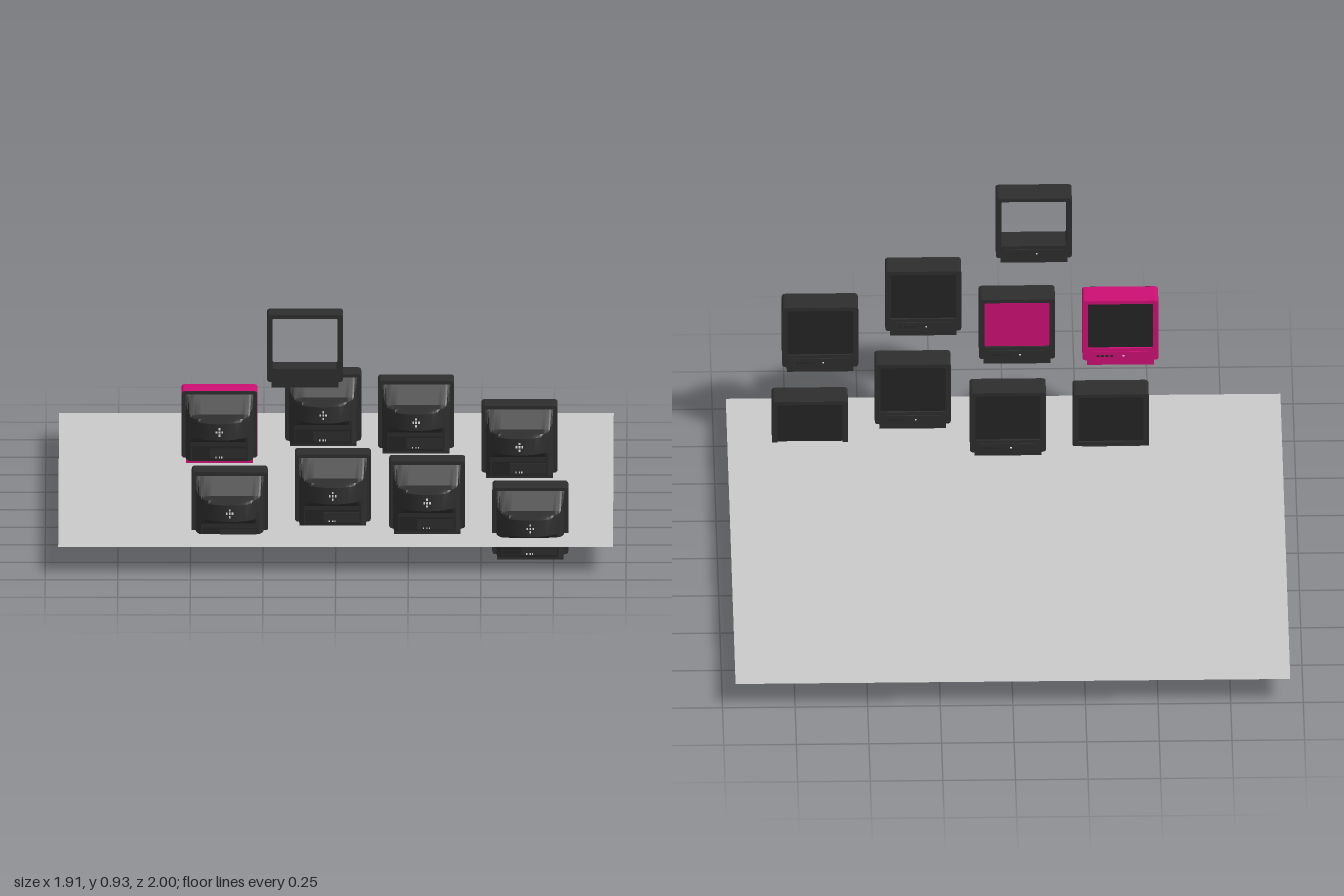
import * as THREE from 'three';
import { toCreasedNormals } from 'three/addons/utils/BufferGeometryUtils.js';

const mat = (name, color, side = THREE.FrontSide) => {
  const m = new THREE.MeshStandardMaterial({ color, side });
  m.name = name;
  return m;
};

const W = 0.262, H = 0.257, D = 0.097; // television width, height, cabinet depth

function roundedRect(Kind, x0, y0, x1, y1, r) {
  const s = new Kind();
  s.moveTo(x0 + r, y0);
  s.lineTo(x1 - r, y0);
  s.quadraticCurveTo(x1, y0, x1, y0 + r);
  s.lineTo(x1, y1 - r);
  s.quadraticCurveTo(x1, y1, x1 - r, y1);
  s.lineTo(x0 + r, y1);
  s.quadraticCurveTo(x0, y1, x0, y1 - r);
  s.lineTo(x0, y0 + r);
  s.quadraticCurveTo(x0, y0, x0 + r, y0);
  return s;
}

// Open cabinet ring around the picture tube
function frameGeometry() {
  const s = roundedRect(THREE.Shape, -W / 2, 0.02, W / 2, H, 0.012);
  s.holes.push(roundedRect(THREE.Path, -0.112, 0.067, 0.112, 0.244, 0.006));
  return new THREE.ExtrudeGeometry(s, { depth: D, bevelEnabled: false, curveSegments: 4 });
}

// Flat rear wall closing the cabinet
function rearWallGeometry() {
  const s = roundedRect(THREE.Shape, -W / 2 + 0.001, 0.021, W / 2 - 0.001, H - 0.001, 0.012);
  const g = new THREE.ExtrudeGeometry(s, { depth: 0.008, bevelEnabled: false, curveSegments: 4 });
  return g.translate(0, 0, D - 0.006);
}

// Rear housing: half-round plan, cut flat at a depth that varies with height
function housingGeometry() {
  const rows = [[0.022, 0], [0.022, 0.055], [0.09, 0.057], [0.11, 0.117],
    [0.168, 0.117], [0.178, 0.085], [0.187, 0.055], [0.245, 0]];
  const n = 28, r = 0.117, pos = [], index = [];
  rows.forEach(([y, limit], i) => {
    for (let j = 0; j <= n; j++) {
      const t = Math.PI * j / n;
      pos.push(r * Math.cos(t), y, D + 0.002 + Math.min(r * Math.sin(t), limit));
      if (i && j) {
        const c = i * (n + 1) + j - 1, a = c - n - 1;
        index.push(a, c, a + 1, a + 1, c, c + 1);
      }
    }
  });
  const g = new THREE.BufferGeometry();
  g.setAttribute('position', new THREE.Float32BufferAttribute(pos, 3));
  g.setIndex(index);
  return toCreasedNormals(g, 0.5);
}

export function createModel() {
  const model = new THREE.Group();
  model.name = 'floatingTelevisions';

  const dark = mat('charcoal', 0x2d2d2d);
  const panel = mat('darkPanel', 0x242424);
  const pink = mat('magenta', 0xcc0f74);
  const light = mat('offWhite', 0xf0f0f0);
  const ground = mat('lightGrey', 0xc9c9c9, THREE.DoubleSide);

  const frameGeo = frameGeometry(), wallGeo = rearWallGeometry(), housingGeo = housingGeometry();

  const add = (parent, name, geo, material, x = 0, y = 0, z = 0) => {
    const m = new THREE.Mesh(geo, material);
    m.name = name;
    m.position.set(x, y, z);
    parent.add(m);
    return m;
  };
  const box = (parent, name, w, h, d, material, x, y, z) =>
    add(parent, name, new THREE.BoxGeometry(w, h, d), material, x, y, z);

  // Cabinet with foot, lower lip and buttons; the screen side faces -z
  function cabinet(name, x, y, z, material) {
    const g = new THREE.Group();
    g.name = name;
    g.position.set(x, y, z);
    model.add(g);
    add(g, 'frame', frameGeo, material);
    box(g, 'foot', 0.23, 0.022, D - 0.006, material, 0, 0.011, D / 2);
    box(g, 'lowerLip', 0.2, 0.03, 0.008, material, 0, 0.04, 0);
    for (let i = 0; i < 4; i++)
      box(g, 'button', 0.01, 0.005, 0.004, panel, 0.03 + i * 0.016, 0.04, -0.005);
    box(g, 'powerLight', 0.006, 0.005, 0.003, light, -0.01, 0.04, -0.005);
    return g;
  }

  function television(x, y, z, frameMat, screenMat) {
    const g = cabinet('television', x, y, z, frameMat);
    box(g, 'screen', 0.226, 0.18, 0.008, screenMat, 0, 0.1555, 0.012);
    add(g, 'rearWall', wallGeo, dark);
    add(g, 'rearHousing', housingGeo, dark);
    // Socket panel on the lower rear
    box(g, 'socketPanel', 0.19, 0.05, 0.004, panel, 0, 0.05, D + 0.058);
    box(g, 'socketInset', 0.125, 0.036, 0.004, dark, 0.03, 0.05, D + 0.06);
    for (const sx of [-0.012, 0, 0.008])
      box(g, 'socket', 0.004, 0.006, 0.003, light, sx, 0.036, D + 0.0615);
    // Cross of small vents at the rear tip
    for (const [vx, vy] of [[0, 0], [-0.01, 0], [0.01, 0], [0, 0.012], [0, -0.012]])
      box(g, 'vent', 0.006, 0.008, 0.008, light, vx, 0.139 + vy, D + 0.1155);
  }

  const sets = [
    [-0.40, 0.357, 0.675, pink, panel],
    [-0.043, 0.402, 0.614, dark, pink],
    [0.277, 0.418, 0.781, dark, panel],
    [0.633, 0.315, 0.717, dark, panel],
    [-0.365, 0.043, 0.573, dark, panel],
    [-0.01, 0.09, 0.511, dark, panel],
    [0.315, 0.107, 0.677, dark, panel],
    [0.67, 0, 0.614, dark, panel],
  ];
  sets.forEach((s) => television(...s));

  // Empty cabinet hovering above the rest
  cabinet('emptyFrame', -0.105, 0.668, 0.846, dark);

  // Ground sheet
  const sheet = new THREE.PlaneGeometry(1.91, 1.91).rotateX(-Math.PI / 2);
  add(model, 'groundSheet', sheet, ground, 0, 0.095, -0.045);

  return model;
}
